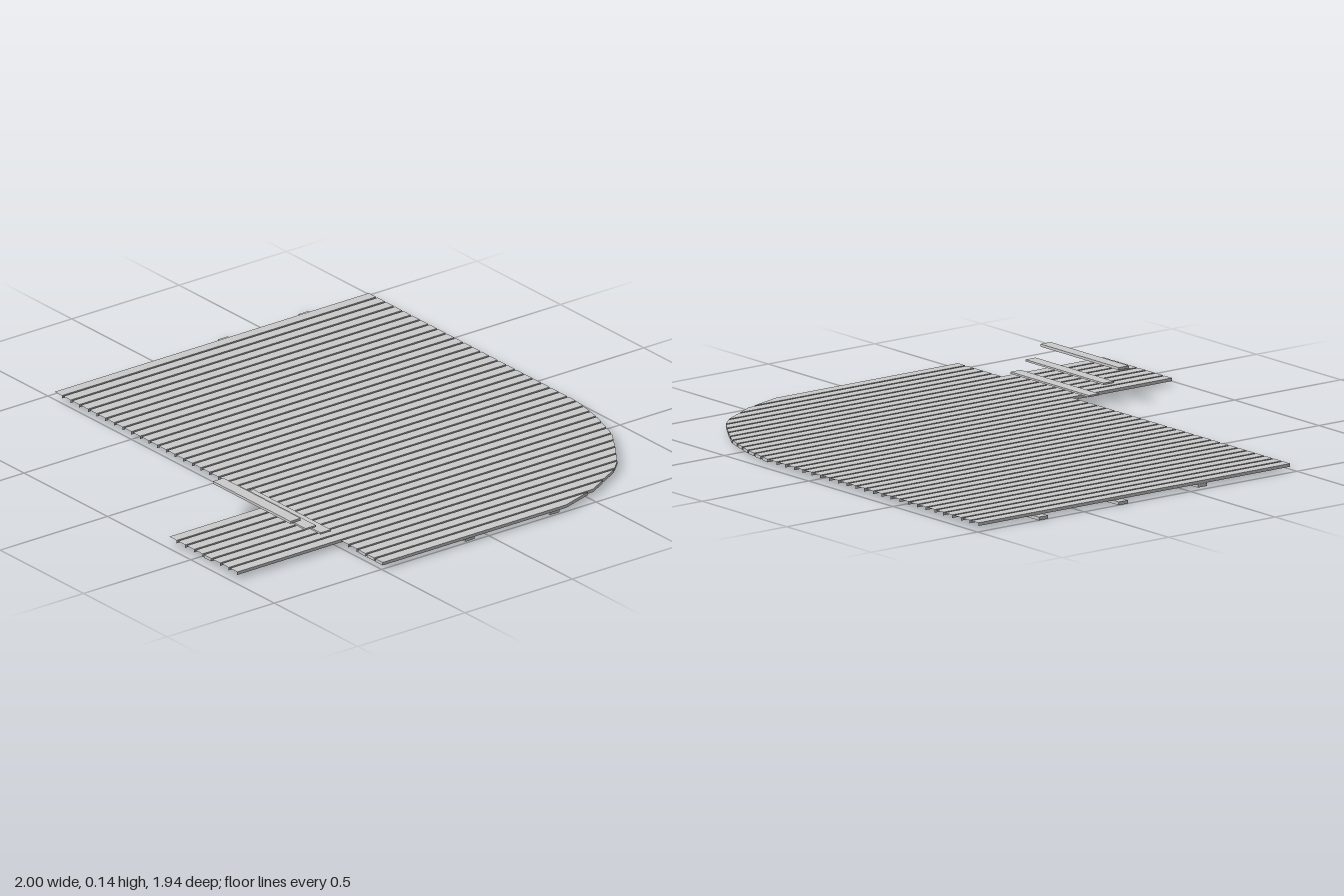
import * as THREE from 'three';

const material = new THREE.MeshStandardMaterial({ color: 0xcccccc, flatShading: true });

const PITCH = 0.052, WIDTH = 0.043, LEFT = -0.97, COUNT = 38;
const Y0 = 0.013, Y1 = 0.025;
const BACK = -0.973, FRONT = 0.492, WALK_FRONT = 0.968;

// Rounded back corner of the deck, as [x, z]
const CORNER = [[0.28, BACK], [0.43, -0.945], [0.59, -0.893], [0.69, -0.83], [0.8, -0.755],
  [0.85, -0.70], [0.9, -0.61], [0.945, -0.53], [0.97, -0.44], [1.0, -0.355]];

function backEdge(x) {
  if (x <= CORNER[0][0]) return BACK;
  for (let i = 1; i < CORNER.length; i++) {
    const [xa, za] = CORNER[i - 1], [xb, zb] = CORNER[i];
    if (x <= xb) return za + (zb - za) * (x - xa) / (xb - xa);
  }
  return CORNER[CORNER.length - 1][1];
}

// Board sleeve with a skewed back end; the end faces are optional
function boardGeometry(x0, x1, z0, z1, front, capFront, capBack) {
  const ring = (y) => [[x0, y, front], [x1, y, front], [x1, y, z1], [x0, y, z0]];
  const a = ring(Y0), b = ring(Y1);
  const quads = [
    [b[0], b[1], b[2], b[3]], // top
    [a[3], a[2], a[1], a[0]], // underside
    [a[1], a[2], b[2], b[1]], // left edge
    [a[3], a[0], b[0], b[3]], // right edge
  ];
  if (capFront) quads.push([a[0], a[1], b[1], b[0]]);
  if (capBack) quads.push([a[2], a[3], b[3], b[2]]);
  const positions = [];
  for (const [p, q, r, s] of quads) positions.push(...p, ...q, ...r, ...p, ...r, ...s);
  const geometry = new THREE.BufferGeometry();
  geometry.setAttribute('position', new THREE.Float32BufferAttribute(positions, 3));
  geometry.computeVertexNormals();
  return geometry;
}

function addBox(parent, name, x0, x1, y0, y1, z0, z1) {
  const mesh = new THREE.Mesh(new THREE.BoxGeometry(x1 - x0, y1 - y0, z1 - z0), material);
  mesh.position.set((x0 + x1) / 2, (y0 + y1) / 2, (z0 + z1) / 2);
  mesh.name = name;
  parent.add(mesh);
}

function addGroup(parent, name) {
  const group = new THREE.Group();
  group.name = name;
  parent.add(group);
  return group;
}

export function createModel() {
  const model = new THREE.Group();
  model.name = 'deck';

  // Deck boards; boards 25 to 32 run on to form the walkway
  const boards = addGroup(model, 'deckBoards');
  for (let i = 0; i < COUNT; i++) {
    const x0 = LEFT + i * PITCH, x1 = x0 + WIDTH;
    const walkway = i >= 25 && i <= 32;
    const mesh = new THREE.Mesh(boardGeometry(x0, x1, backEdge(x0), backEdge(x1),
      walkway ? WALK_FRONT : FRONT, i === 29 || i >= 35, x1 > CORNER[0][0]), material);
    mesh.name = walkway ? 'walkwayBoard' : 'deckBoard';
    boards.add(mesh);
  }

  // Joists under the boards
  const joists = addGroup(model, 'joists');
  for (const [x0, x1, z] of [[-1, 0.83, -0.691], [-1, 0.99, -0.316], [-0.97, 0.99, 0.08]]) {
    addBox(joists, 'joist', x0, x1, 0, 0.0125, z - 0.022, z + 0.022);
  }

  // Floating stair treads rising over the walkway
  const steps = addGroup(model, 'steps');
  for (const [y0, y1, z] of [[0.044, 0.051, 0.519], [0.08, 0.087, 0.589], [0.125, 0.135, 0.66]]) {
    addBox(steps, 'stepTread', 0.227, 0.69, y0, y1, z - 0.024, z + 0.024);
  }

  return model;
}
